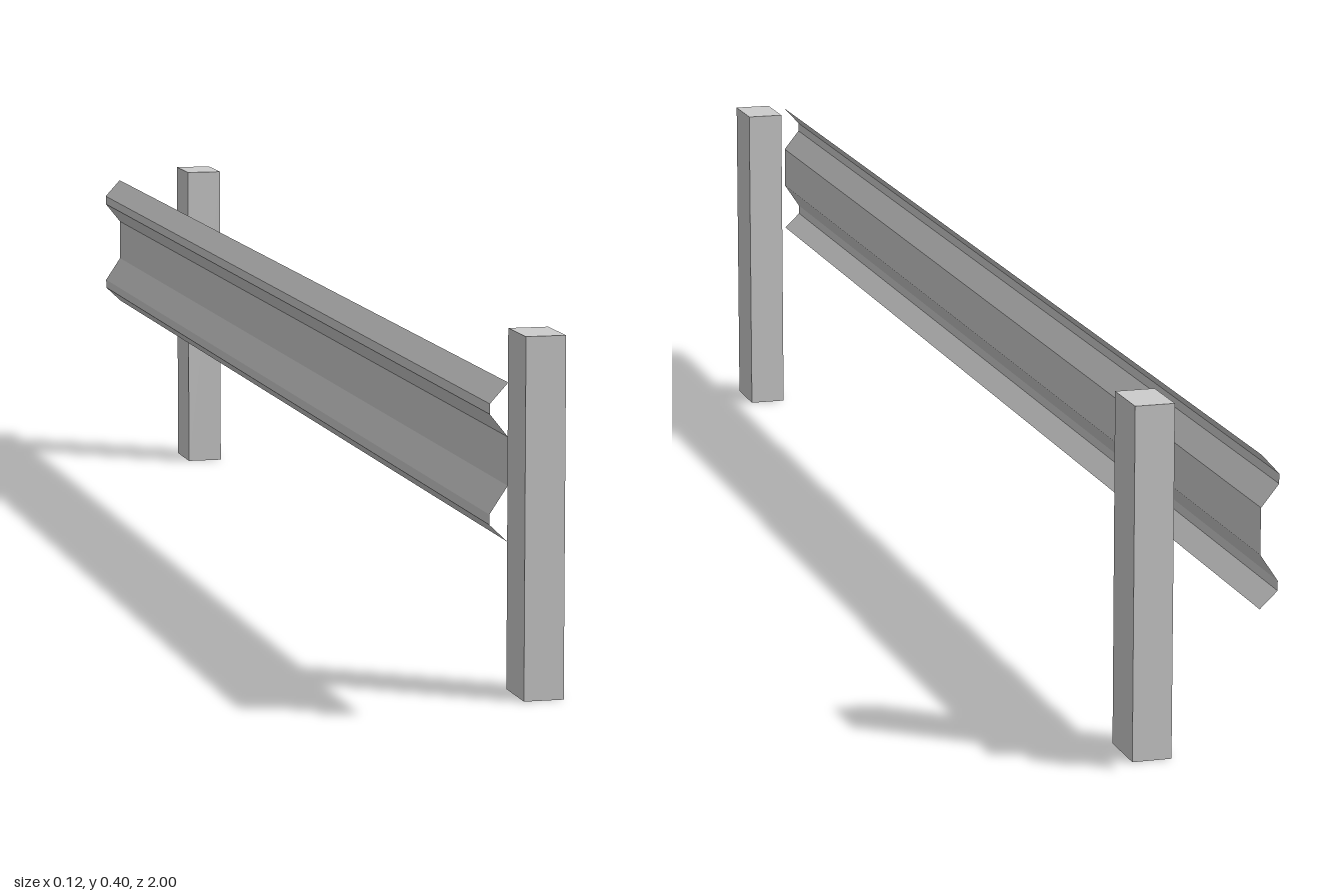
import * as THREE from 'three';

const steel = new THREE.MeshStandardMaterial({ color: 0xcccccc, flatShading: true, side: THREE.DoubleSide });
const postMaterial = new THREE.MeshStandardMaterial({ color: 0xcccccc, flatShading: true });

// Thin folded sheet: an (x, y) profile swept along z
function sweepSheet(profile, length) {
  const positions = [];
  const indices = [];
  profile.forEach(([x, y], i) => {
    positions.push(x, y, length / 2, x, y, -length / 2);
    if (i > 0) {
      const a = 2 * (i - 1);
      indices.push(a, a + 1, a + 2, a + 1, a + 3, a + 2);
    }
  });
  const geometry = new THREE.BufferGeometry();
  geometry.setAttribute('position', new THREE.Float32BufferAttribute(positions, 3));
  geometry.setIndex(indices);
  geometry.computeVertexNormals();
  return geometry;
}

export function createModel() {
  const model = new THREE.Group();
  model.name = 'guardRail';

  // Double-ridged rail, ridges pointing towards -x
  const inner = -0.04;
  const outer = -0.06;
  const profile = [
    [inner, 0.37], [outer, 0.348], [outer, 0.337], [inner, 0.312],
    [inner, 0.26], [outer, 0.23], [outer, 0.219], [inner, 0.2],
  ];
  const rail = new THREE.Mesh(sweepSheet(profile, 2), steel);
  rail.name = 'rail';
  model.add(rail);

  // Two square-cut posts standing behind the rail
  const postGeometry = new THREE.BoxGeometry(0.045, 0.4, 0.07);
  for (const side of [1, -1]) {
    const post = new THREE.Mesh(postGeometry, postMaterial);
    post.name = side > 0 ? 'frontPost' : 'backPost';
    post.position.set(0.0375, 0.2, side * 0.84);
    model.add(post);
  }
  return model;
}
